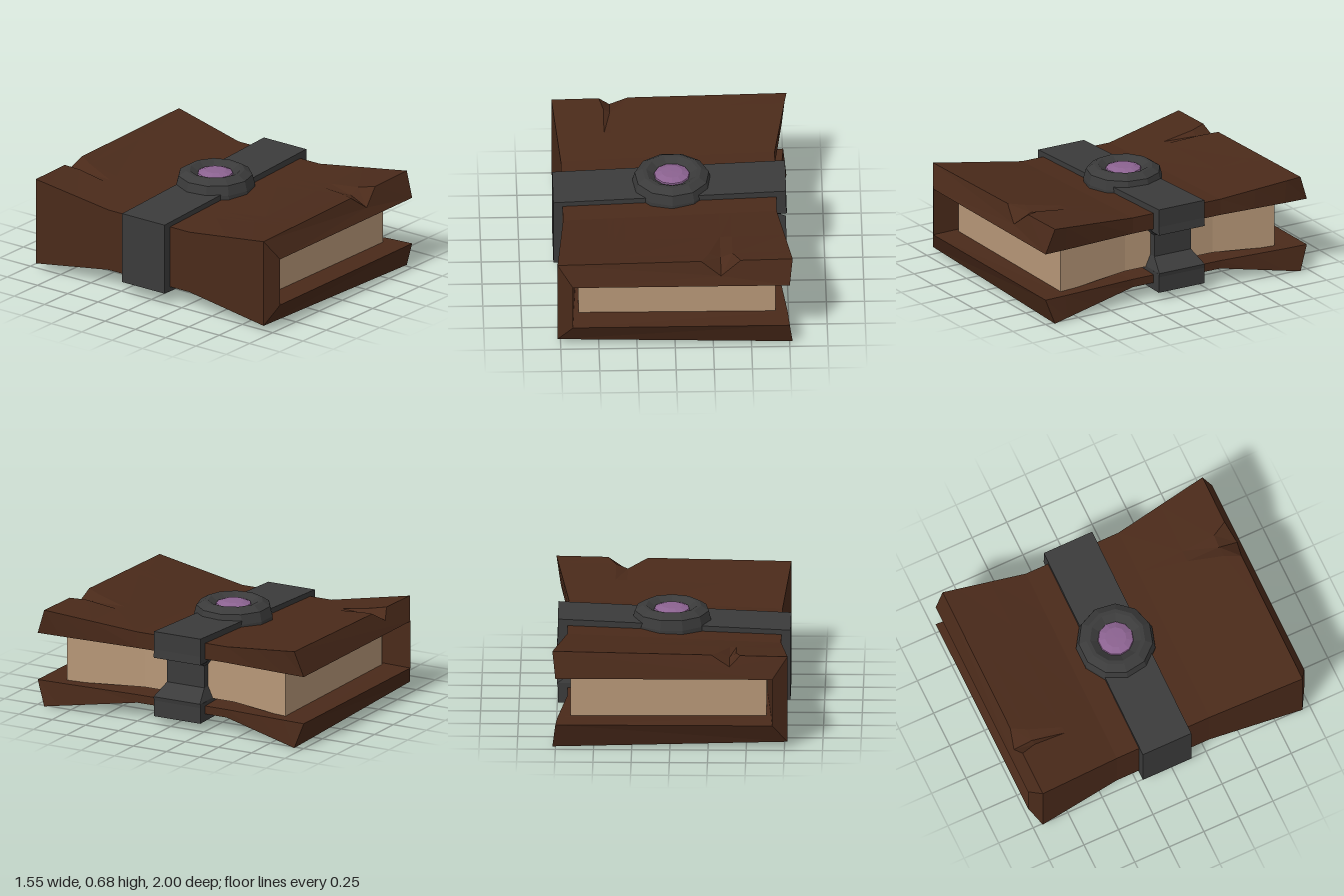
import * as THREE from 'three';

const lerp = THREE.MathUtils.lerp;
const mat = (color) => new THREE.MeshStandardMaterial({ color, flatShading: true, roughness: 0.9 });

// Skins counter-clockwise rings ordered along +z and caps both ends
function loft(rings) {
  const pos = [];
  const tri = (...pts) => pts.forEach((p) => pos.push(...p));
  const n = rings[0].length;
  for (let i = 0; i < rings.length - 1; i++) {
    for (let j = 0; j < n; j++) {
      const k = (j + 1) % n;
      const a = rings[i][j], b = rings[i][k], c = rings[i + 1][k], d = rings[i + 1][j];
      tri(a, b, c);
      tri(a, c, d);
    }
  }
  [[rings[0], -1], [rings[rings.length - 1], 1]].forEach(([ring, facing]) => {
    const flat = ring.map((p) => new THREE.Vector2(p[0], p[1]));
    THREE.ShapeUtils.triangulateShape(flat, []).forEach((f) => {
      const [a, b, c] = f.map((i) => ring[i]);
      const area = (b[0] - a[0]) * (c[1] - a[1]) - (b[1] - a[1]) * (c[0] - a[0]);
      if (area * facing > 0) tri(a, b, c);
      else tri(a, c, b);
    });
  });
  const g = new THREE.BufferGeometry();
  g.setAttribute('position', new THREE.Float32BufferAttribute(pos, 3));
  g.computeVertexNormals();
  return g;
}

// 0 along the pinched waist, 1 at the flared ends
const flare = (z) => Math.max(0, (z - 0.29) / 0.65, (-0.38 - z) / 0.56);

// C-shaped cover section: flared at the ends, pinched at the waist, with two torn notches
function coverRing(z) {
  const t = flare(z), s = Math.sign(z);
  const mix = (mid, end) => [lerp(mid[0], end[0], t), lerp(mid[1], end[1], t)];
  const atEnd = t > 0.99;
  const innerZ = atEnd ? s : z;
  const topL = mix([-0.72, 0.53], [-0.77, 0.63]);
  const topR = mix([0.68, 0.585], [0.77, 0.66]);
  const ring = [
    [...mix([-0.72, 0.11], [-0.77, 0.04]), z],
    [...mix([0.68, 0.1], [0.77, 0.0]), z],
    [...mix([0.68, 0.155], [0.75, 0.17]), innerZ],
    [...mix([-0.63, 0.2], [-0.67, 0.17]), innerZ],
    [...mix([-0.63, 0.475], [-0.67, 0.49]), innerZ],
    [...mix([0.68, 0.475], [0.75, 0.49]), innerZ],
    [...topR, z],
  ];
  // Notch columns: [centre x, left and right spread, side, edge depth]
  [[0.3, 0.13, 0.13, 1, 0.1], [-0.39, 0.07, 0.12, -1, 0.07]].forEach(([cx, l, r, side, depth]) => {
    const near = side === s;
    const spread = near && atEnd ? 1 : 0.6;
    const dent = !near ? 0 : atEnd ? depth : Math.abs(z) > 0.8 ? 0.03 : 0;
    [[cx + r * spread, 0], [cx, dent], [cx - l * spread, 0]].forEach(([x, d]) => {
      const y = lerp(topL[1], topR[1], (x - topL[0]) / (topR[0] - topL[0]));
      ring.push([x, y - d, z + (d && atEnd ? s * 0.03 : 0)]);
    });
  });
  ring.push([...topL, z]);
  return ring;
}

function pageRing(z) {
  const t = Math.min(1, flare(z) * 1.2);
  const r = lerp(0.58, 0.66, t), b = lerp(0.18, 0.16, t), h = lerp(0.49, 0.5, t);
  return [[-0.63, b, z], [r, b, z], [r, h, z], [-0.63, h, z]];
}

export function createModel() {
  const group = new THREE.Group();
  const leather = mat(0x4a2a1a), paper = mat(0xb89878), metal = mat(0x3b3b3b), crystal = mat(0x8c6391);
  const add = (name, geometry, material, parent = group) => {
    const m = new THREE.Mesh(geometry, material);
    m.name = name;
    parent.add(m);
    return m;
  };

  add('cover', loft([-0.94, -0.84, -0.62, -0.38, 0.29, 0.61, 0.84, 0.94].map(coverRing)), leather);
  add('pages', loft([-0.81, -0.38, 0.29, 0.83].map(pageRing)), paper);

  // Strap wrapped around the waist, open at the fore edge
  const strapShape = new THREE.Shape([
    [-0.78, 0.08], [0.745, 0.05], [0.745, 0.18], [0.66, 0.18], [0.66, 0.13], [-0.7, 0.15],
    [-0.7, 0.5], [0.66, 0.55], [0.66, 0.45], [0.745, 0.45], [0.745, 0.63], [-0.78, 0.56],
  ].map((p) => new THREE.Vector2(...p)));
  const strap = new THREE.ExtrudeGeometry(strapShape, { depth: 0.35, bevelEnabled: false });
  strap.translate(0, 0, -0.22);
  add('strap', strap, metal);

  // Clasp: wide hooks tapering to a narrow inset bar; [height, outer x, half width]
  const clasp = loft([
    [0.13, 0.74, 0.174], [0.185, 0.75, 0.174], [0.26, 0.63, 0.14],
    [0.41, 0.63, 0.14], [0.455, 0.75, 0.174], [0.56, 0.74, 0.174],
  ].map(([y, x, w]) => [[0.5, -w, y], [x, -w, y], [x, w, y], [0.5, w, y]]));
  clasp.rotateX(-Math.PI / 2);
  clasp.translate(0, 0, -0.045);
  add('clasp', clasp, metal);

  // Round setting with a faceted gem
  const brooch = new THREE.Group();
  brooch.name = 'brooch';
  brooch.position.set(0, 0, -0.05);
  group.add(brooch);
  const lathe = (pts) => new THREE.LatheGeometry(pts.map((p) => new THREE.Vector2(...p)), 11);
  add('setting', lathe([
    [0.262, 0.5], [0.262, 0.58], [0.245, 0.645], [0.195, 0.677], [0.17, 0.677], [0.12, 0.645], [0, 0.645],
  ]), metal, brooch);
  add('gem', lathe([[0.122, 0.635], [0.115, 0.655], [0.07, 0.672], [0, 0.674]]), crystal, brooch);

  return group;
}
